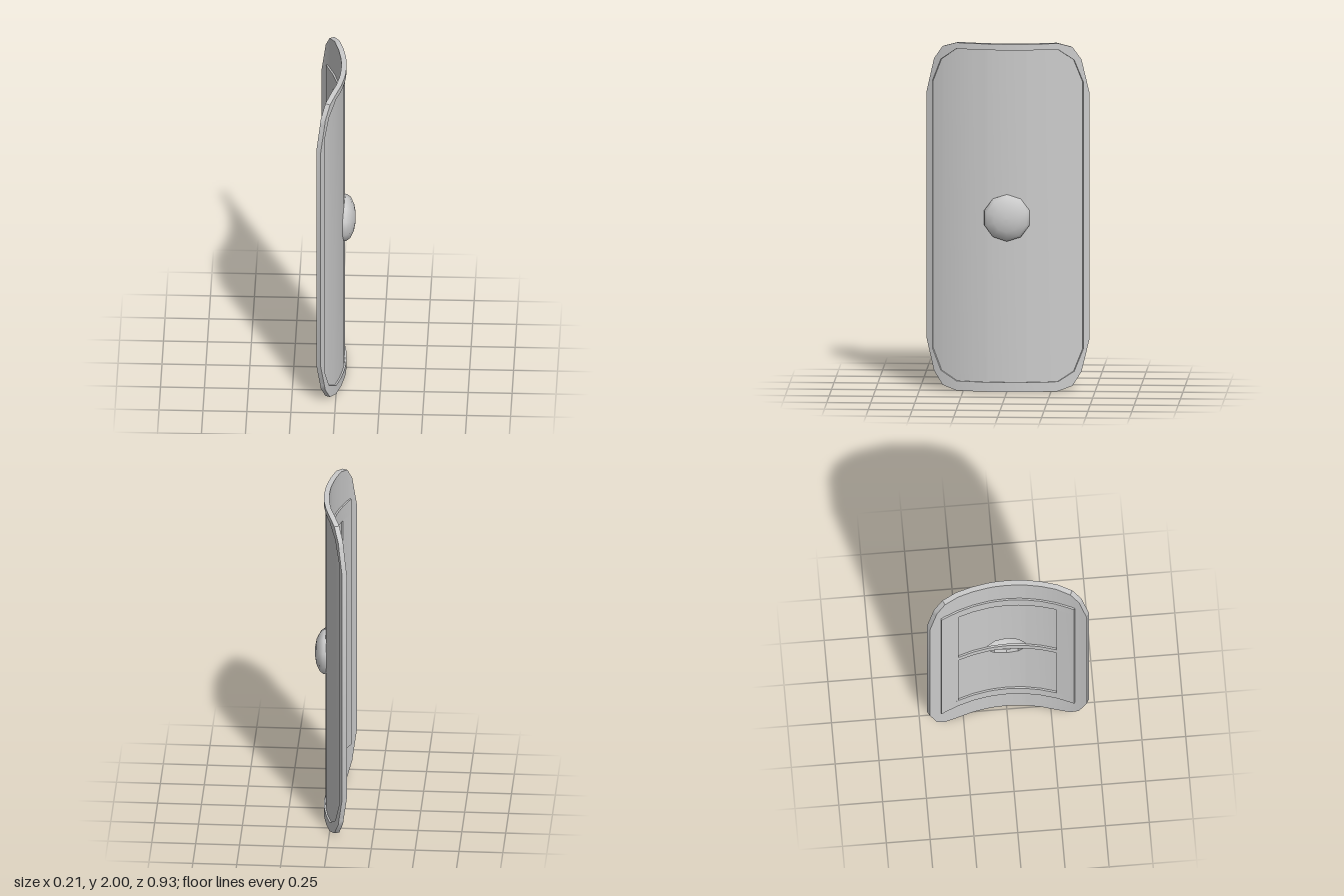
import * as THREE from 'three';
import { toCreasedNormals } from 'three/addons/utils/BufferGeometryUtils.js';

const R = 0.88;             // outer radius of the curve
const AXIS = 0.05 - R;      // x of the vertical axis of the curve
const HALF = [0, 0.069, 0.112, 0.2, 0.29, 0.37, 0.38, 0.42, 0.43, 0.463];
const COLUMNS = [...HALF.slice(1).reverse().map((z) => -z), ...HALF];

const mat = new THREE.MeshStandardMaterial({ color: 0xcccccc, side: THREE.DoubleSide });

// Height as a piecewise linear function of |z|
function outline(points) {
  return (z) => {
    const a = Math.abs(z);
    if (a <= points[0][0]) return points[0][1];
    for (let i = 1; i < points.length; i++) {
      const [z0, y0] = points[i - 1], [z1, y1] = points[i];
      if (a <= z1 + 1e-6) return y0 + (y1 - y0) * (a - z0) / (z1 - z0);
    }
    return points[points.length - 1][1];
  };
}

const outerTop = outline([[0.29, 2], [0.37, 1.975], [0.42, 1.9], [0.463, 1.71]]);
const outerBottom = outline([[0.29, 0], [0.37, 0.027], [0.42, 0.105], [0.463, 0.285]]);
const innerTop = outline([[0.29, 1.965], [0.38, 1.9], [0.43, 1.77]]);
const innerBottom = outline([[0.29, 0.055], [0.38, 0.11], [0.43, 0.235]]);
const holeHalf = outline([[0, 0.118], [0.069, 0.095], [0.112, 0.036]]);

// Closed curved slab from z = a to b, between two heights and two radii
function slab(name, a, b, lo, hi, r0, r1) {
  const zs = [a, ...COLUMNS.filter((z) => z > a + 1e-4 && z < b - 1e-4), b];
  const pos = [], idx = [];
  zs.forEach((z, i) => {
    const t = Math.asin(z / R);
    for (const [r, y] of [[r0, lo(z)], [r1, lo(z)], [r1, hi(z)], [r0, hi(z)]]) {
      pos.push(AXIS + r * Math.cos(t), y, r * Math.sin(t));
    }
    if (i === 0) return;
    for (let j = 0; j < 4; j++) {
      const k = (j + 1) % 4, p = (i - 1) * 4, q = i * 4;
      idx.push(p + j, p + k, q + k, p + j, q + k, q + j);
    }
  });
  const e = (zs.length - 1) * 4;
  idx.push(0, 2, 1, 0, 3, 2, e, e + 1, e + 2, e, e + 2, e + 3);
  const geo = new THREE.BufferGeometry();
  geo.setAttribute('position', new THREE.Float32BufferAttribute(pos, 3));
  geo.setIndex(idx);
  const mesh = new THREE.Mesh(toCreasedNormals(geo, 0.5), mat);
  mesh.name = name;
  return mesh;
}

function group(name, ...parts) {
  const g = new THREE.Group();
  g.name = name;
  g.add(...parts);
  return g;
}

export function createModel() {
  const flat = (y) => () => y;

  // Curved board with a hole behind the boss
  const board = group('board',
    slab('boardBackSide', -0.43, -0.112, innerBottom, innerTop, 0.85, 0.87),
    slab('boardFrontSide', 0.112, 0.43, innerBottom, innerTop, 0.85, 0.87),
    slab('boardUpper', -0.112, 0.112, (z) => 1 + holeHalf(z), innerTop, 0.85, 0.87),
    slab('boardLower', -0.112, 0.112, innerBottom, (z) => 1 - holeHalf(z), 0.85, 0.87));

  // Raised rim around the edge
  const rim = group('rim',
    slab('rimTop', -0.43, 0.43, innerTop, outerTop, 0.85, 0.88),
    slab('rimBottom', -0.43, 0.43, outerBottom, innerBottom, 0.85, 0.88),
    slab('rimBackSide', -0.463, -0.43, outerBottom, outerTop, 0.85, 0.88),
    slab('rimFrontSide', 0.43, 0.463, outerBottom, outerTop, 0.85, 0.88));

  // Bracing frame and grip on the hollow side
  const brace = group('brace',
    slab('braceTop', -0.396, 0.396, flat(1.69), flat(1.78), 0.84, 0.852),
    slab('braceBottom', -0.396, 0.396, flat(0.22), flat(0.31), 0.84, 0.852),
    slab('braceBackSide', -0.396, -0.293, flat(0.31), flat(1.69), 0.84, 0.852),
    slab('braceFrontSide', 0.293, 0.396, flat(0.31), flat(1.69), 0.84, 0.852),
    slab('grip', -0.293, 0.293, flat(0.975), flat(1.025), 0.84, 0.852));

  // Hollow domed boss, open at the back
  const profile = [[0.136, 0.03], [0.134, 0.05], [0.118, 0.072], [0.075, 0.093], [0.03, 0.101], [0, 0.102]]
    .map(([r, h]) => new THREE.Vector2(r, h));
  const boss = new THREE.Mesh(new THREE.LatheGeometry(profile, 10, Math.PI / 2), mat);
  boss.name = 'boss';
  boss.rotation.z = -Math.PI / 2;
  boss.position.y = 1;

  return group('shield', board, rim, brace, boss);
}
